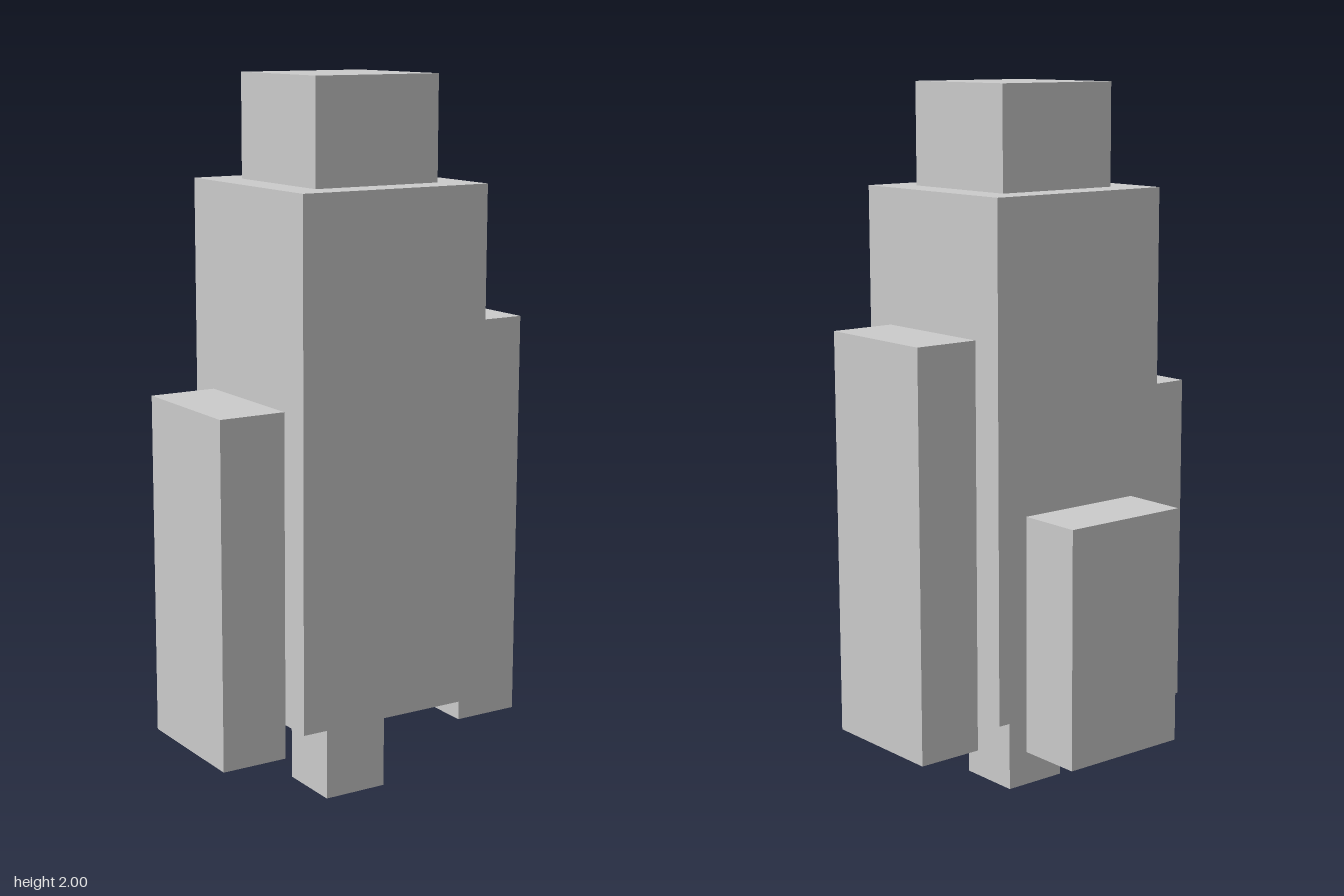
import * as THREE from 'three';

const U = 2 / 21; // one grid cell of the blocky model

export function createModel() {
  const model = new THREE.Group();
  const material = new THREE.MeshStandardMaterial({ color: 0xcccccc, flatShading: true });

  // Box given by its lower and upper corners, in cells
  function block(name, [x0, y0, z0], [x1, y1, z1]) {
    const geometry = new THREE.BoxGeometry((x1 - x0) * U, (y1 - y0) * U, (z1 - z0) * U);
    const mesh = new THREE.Mesh(geometry, material);
    mesh.name = name;
    mesh.position.set((x0 + x1) / 2, (y0 + y1) / 2, (z0 + z1) / 2).multiplyScalar(U);
    model.add(mesh);
  }

  // Central tower with its cap and foot
  block('body', [-3, 3, -2], [3, 18, 4]);
  block('topCap', [-2, 18, -1], [2, 21, 3]);
  block('foot', [-1, 0, 0], [1, 3, 2]);

  // Slabs on the sides and the back, hanging one cell below the body
  block('leftSlab', [3, 2, -1], [5, 14, 3]);
  block('rightSlab', [-5, 2, -1], [-3, 12, 3]);
  block('backSlab', [-2, 2, -4], [2, 9, -2]);

  return model;
}
